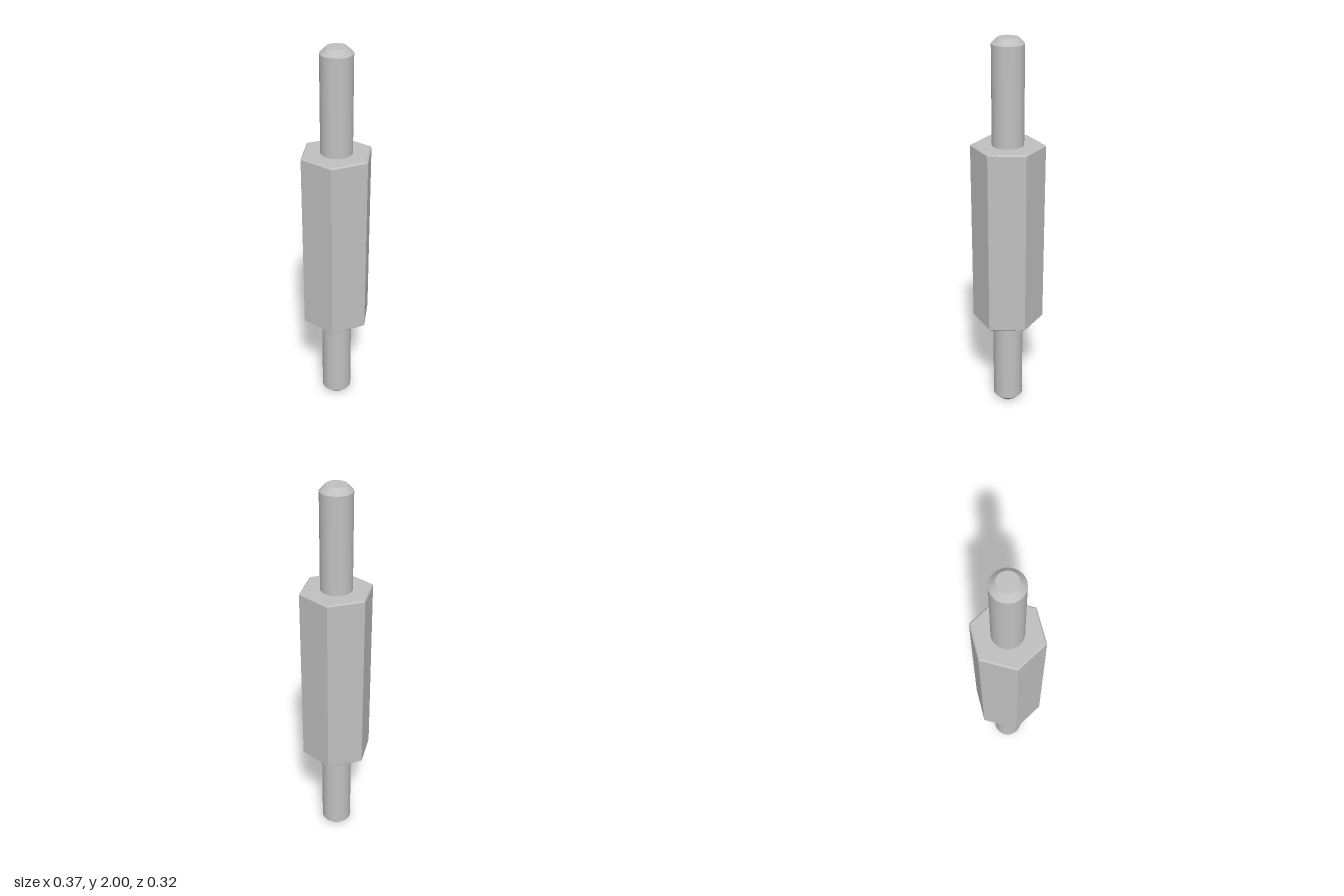
import * as THREE from 'three';

const steel = new THREE.MeshStandardMaterial({ color: 0xc0c0c0 });
steel.name = 'steel grey';
const steelFlat = steel; // one colour for every part

// Stack of straight-sided rings, each with its own normals so edges stay sharp
function turned(name, profile, sides, turn = 0, flat = false) {
  const group = new THREE.Group();
  group.name = name;
  const add = (geometry, label) => {
    geometry.rotateY(turn);
    const mesh = new THREE.Mesh(flat ? facet(geometry) : geometry, steelFlat);
    mesh.name = label;
    group.add(mesh);
  };
  for (let i = 0; i < profile.length - 1; i++) {
    const [r0, y0] = profile[i], [r1, y1] = profile[i + 1];
    const side = new THREE.CylinderGeometry(r1, r0, y1 - y0, sides, 1, true);
    side.translate(0, (y0 + y1) / 2, 0);
    add(side, `${name}Side${i + 1}`);
  }
  // End faces
  const [rBottom, yBottom] = profile[0], [rTop, yTop] = profile[profile.length - 1];
  add(new THREE.CircleGeometry(rTop, sides).rotateZ(Math.PI / 2).rotateX(-Math.PI / 2).translate(0, yTop, 0), `${name}Top`);
  add(new THREE.CircleGeometry(rBottom, sides).rotateZ(Math.PI / 2).rotateX(Math.PI / 2).translate(0, yBottom, 0), `${name}Bottom`);
  return group;
}

// Separate the faces for crisp flat sides
function facet(geometry) {
  const flat = geometry.toNonIndexed();
  flat.computeVertexNormals();
  return flat;
}

export function createModel() {
  const model = new THREE.Group();
  model.name = 'hexStandoff';

  // Hexagonal body with corners on the x axis and fine chamfers at both ends
  const R = 0.185, inset = 0.177;
  model.add(turned('hexBody', [[inset, 0.52], [R, 0.527], [R, 1.478], [inset, 1.485]], 6, Math.PI / 6, true));

  // Round studs with chamfered tips
  const r = 0.079, tip = 0.05;
  model.add(turned('lowerStud', [[tip, 0], [r, 0.03], [r, 0.521]], 64));
  model.add(turned('upperStud', [[r, 1.484], [r, 1.97], [tip, 2]], 64));
  return model;
}
